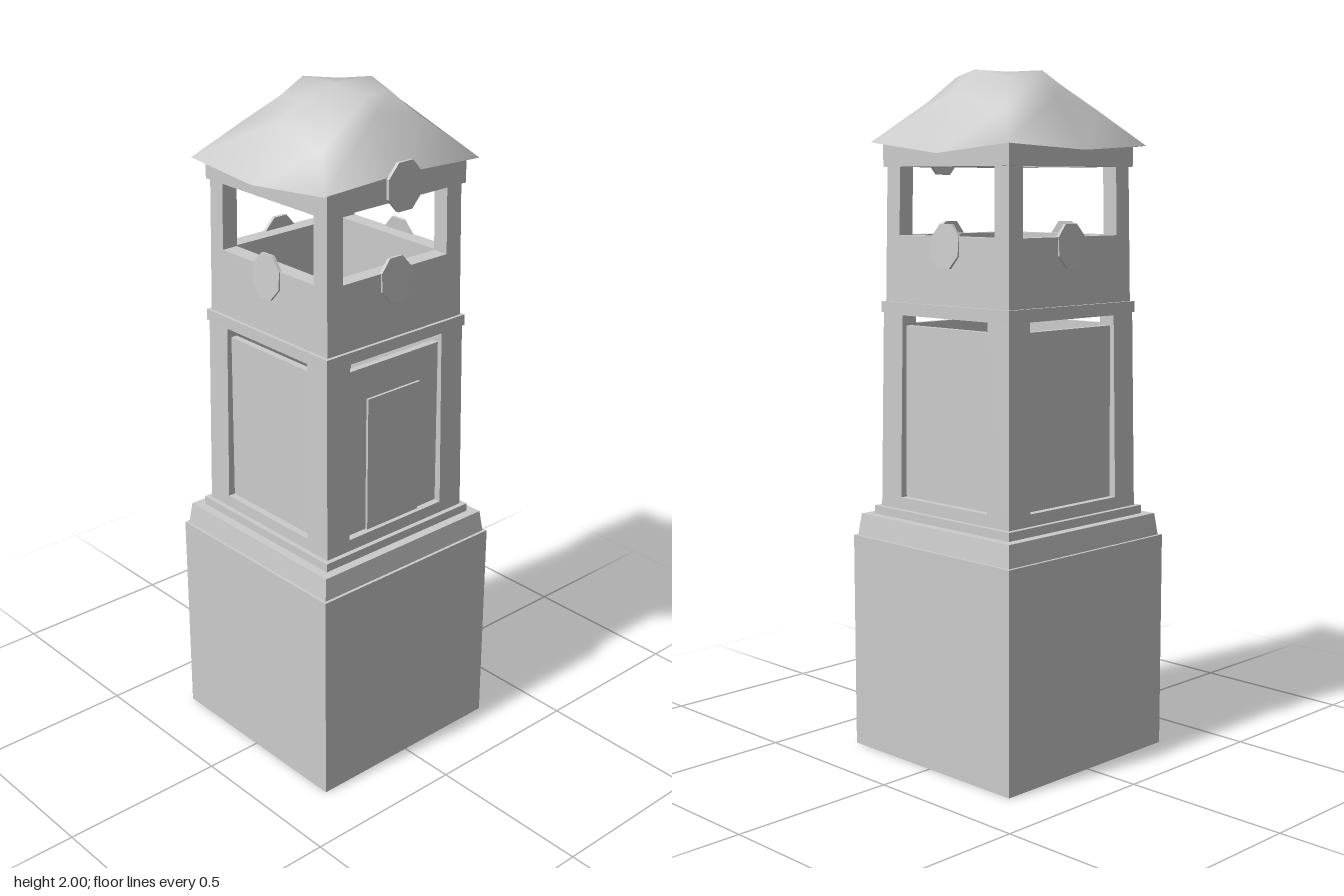
import * as THREE from 'three';

const mat = new THREE.MeshStandardMaterial({ color: 0xcccccc, side: THREE.DoubleSide });
const flat = new THREE.MeshStandardMaterial({ color: 0xcccccc, side: THREE.DoubleSide, flatShading: true });

function add(parent, name, geometry, material = flat) {
  const mesh = new THREE.Mesh(geometry, material);
  mesh.name = name;
  parent.add(mesh);
  return mesh;
}

function box(parent, name, w, y0, y1, d, z = 0) {
  const mesh = add(parent, name, new THREE.BoxGeometry(w, y1 - y0, d));
  mesh.position.set(0, (y0 + y1) / 2, z);
  return mesh;
}

// Square shell turned from a profile of [half width, height] points
function squareShell(profile) {
  const points = profile.map(([h, y]) => new THREE.Vector2(h * Math.SQRT2, y));
  return new THREE.LatheGeometry(points, 4).rotateY(Math.PI / 4);
}

// Wall with one rectangular opening, tapering from half width h0 to h1
function framedWall(y0, y1, h0, h1, opening, holeY0, holeY1, depth) {
  const shape = new THREE.Shape([[-h0, y0], [h0, y0], [h0, y1], [-h0, y1]].map(p => new THREE.Vector2(...p)));
  shape.holes.push(new THREE.Path([[-opening, holeY0], [-opening, holeY1], [opening, holeY1], [opening, holeY0]]
    .map(p => new THREE.Vector2(...p))));
  const geo = new THREE.ExtrudeGeometry(shape, { depth, bevelEnabled: false }).translate(0, 0, h0 - depth);
  const pos = geo.attributes.position;
  for (let i = 0; i < pos.count; i++) {
    const t = (pos.getY(i) - y0) / (y1 - y0);
    const k = 1 + (h1 / h0 - 1) * t;
    pos.setX(i, pos.getX(i) * k);
    pos.setZ(i, pos.getZ(i) * k);
  }
  geo.computeVertexNormals();
  return geo;
}

// Thin eight-sided plaque facing the front
function plaque(parent, name, rx, ry, y, z, tilt = 0) {
  const geo = new THREE.CylinderGeometry(1, 1, 0.01, 8).rotateY(Math.PI / 8).rotateX(Math.PI / 2).scale(rx, ry, 1);
  const mesh = add(parent, name, geo);
  mesh.position.set(0, y, z);
  mesh.rotation.x = tilt;
}

// Soft, slightly uneven dome: three rings of eight points closed by an apex
function roofGeometry() {
  const rings = [
    [[-.285, 1.80, .277], [0, 1.81, .273], [.283, 1.80, .277], [.283, 1.766, 0],
      [.283, 1.79, -.28], [0, 1.775, -.30], [-.285, 1.79, -.28], [-.298, 1.775, 0]],
    [[-.19, 1.885, .165], [0, 1.945, .165], [.16, 1.915, .165], [.22, 1.935, 0],
      [.2, 1.89, -.195], [0, 1.92, -.185], [-.18, 1.89, -.185], [-.2, 1.93, 0]],
    [[-.10, 1.965, .10], [0, 1.99, .13], [.10, 1.985, .11], [.135, 2.0, 0],
      [.11, 1.98, -.11], [0, 1.998, -.135], [-.10, 1.965, -.11], [-.12, 1.975, 0]],
  ];
  const index = [];
  for (let i = 0; i < 8; i++) {
    const j = (i + 1) % 8;
    for (const r of [0, 8]) index.push(r + i, r + j, r + 8 + j, r + i, r + 8 + j, r + 8 + i);
    index.push(16 + i, 16 + j, 24);
  }
  const geo = new THREE.BufferGeometry();
  geo.setAttribute('position', new THREE.Float32BufferAttribute([...rings.flat(2), 0, 2, 0], 3));
  geo.setIndex(index);
  geo.computeVertexNormals();
  return geo;
}

export function createModel() {
  const model = new THREE.Group();
  model.name = 'tower';

  // Hollow pedestal, open below, with stepped moulding
  add(model, 'pedestal', squareShell([
    [.325, 0], [.325, .645], [.316, .645], [.308, .71], [.28, .71], [.28, .735], [0, .735],
  ]));

  // Slab between the two storeys
  box(model, 'middleFloor', .524, 1.31, 1.342, .524);

  for (let i = 0; i < 4; i++) {
    const side = new THREE.Group();
    side.name = 'side' + (i + 1);
    side.rotation.y = i * Math.PI / 2;
    model.add(side);

    // Lower storey: tapered frame with a recessed panel below a slit
    add(side, 'lowerFrame', framedWall(.735, 1.315, .265, .257, .18, .77, 1.305, .05));
    box(side, 'panel', .39, .75, 1.275, .02, .233);

    // Upper storey: parapet, corner posts and lintel
    add(side, 'upperFrame', framedWall(1.34, 1.76, .252, .246, .196, 1.535, 1.73, .05));
    box(side, 'lintel', .51, 1.73, 1.80, .04, .235);
    plaque(side, 'parapetPlaque', .06, .068, 1.508, .249, -.07);
  }

  // Door on the front panel
  box(model, 'door', .2, .77, 1.178, .012, .245);

  add(model, 'roof', roofGeometry(), mat);
  plaque(model, 'roofPlaque', .066, .073, 1.776, .276);

  return model;
}
